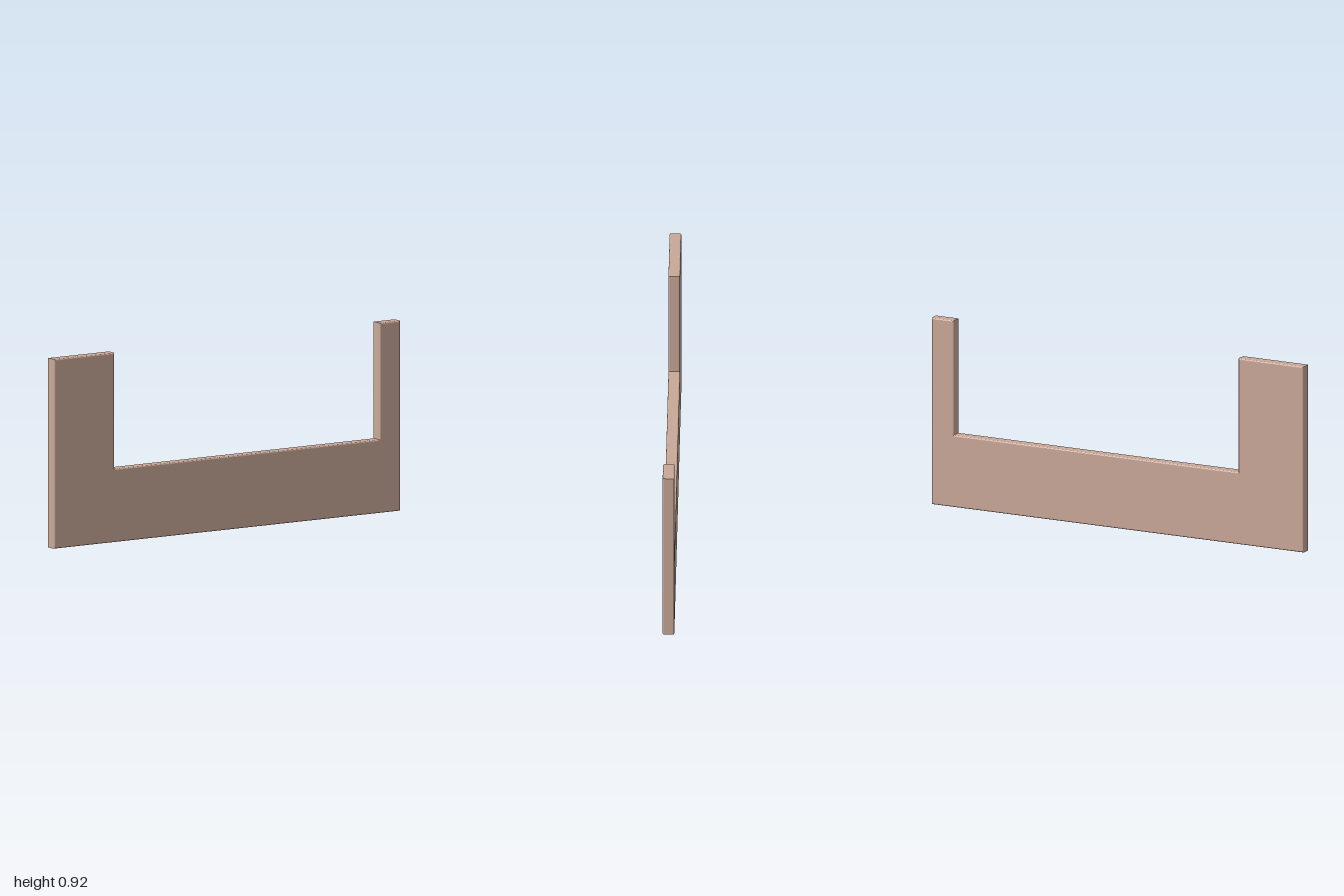
import * as THREE from 'three';

export function createModel() {
  const group = new THREE.Group();
  group.name = 'uShapedPanel';

  const depth = 0.056, bevel = 0.007;

  // Outline: wide post on one side, low rail, narrow post on the other
  const outline = new THREE.Shape([
    [-1, 0], [1, 0], [1, 0.92], [0.88, 0.92],
    [0.88, 0.355], [-0.65, 0.355], [-0.65, 0.917], [-1, 0.917],
  ].map(([x, y]) => new THREE.Vector2(x, y)));

  // Thin board with softly rounded edges, kept inside the outline
  const geometry = new THREE.ExtrudeGeometry(outline, {
    depth: depth - 2 * bevel,
    bevelEnabled: true,
    bevelThickness: bevel,
    bevelSize: bevel,
    bevelOffset: -bevel,
    bevelSegments: 4,
  });
  geometry.translate(0, 0, -depth / 2 + bevel);

  const panel = new THREE.Mesh(geometry, new THREE.MeshStandardMaterial({ color: 0xc9a898 }));
  panel.name = 'panel';
  group.add(panel);
  return group;
}
